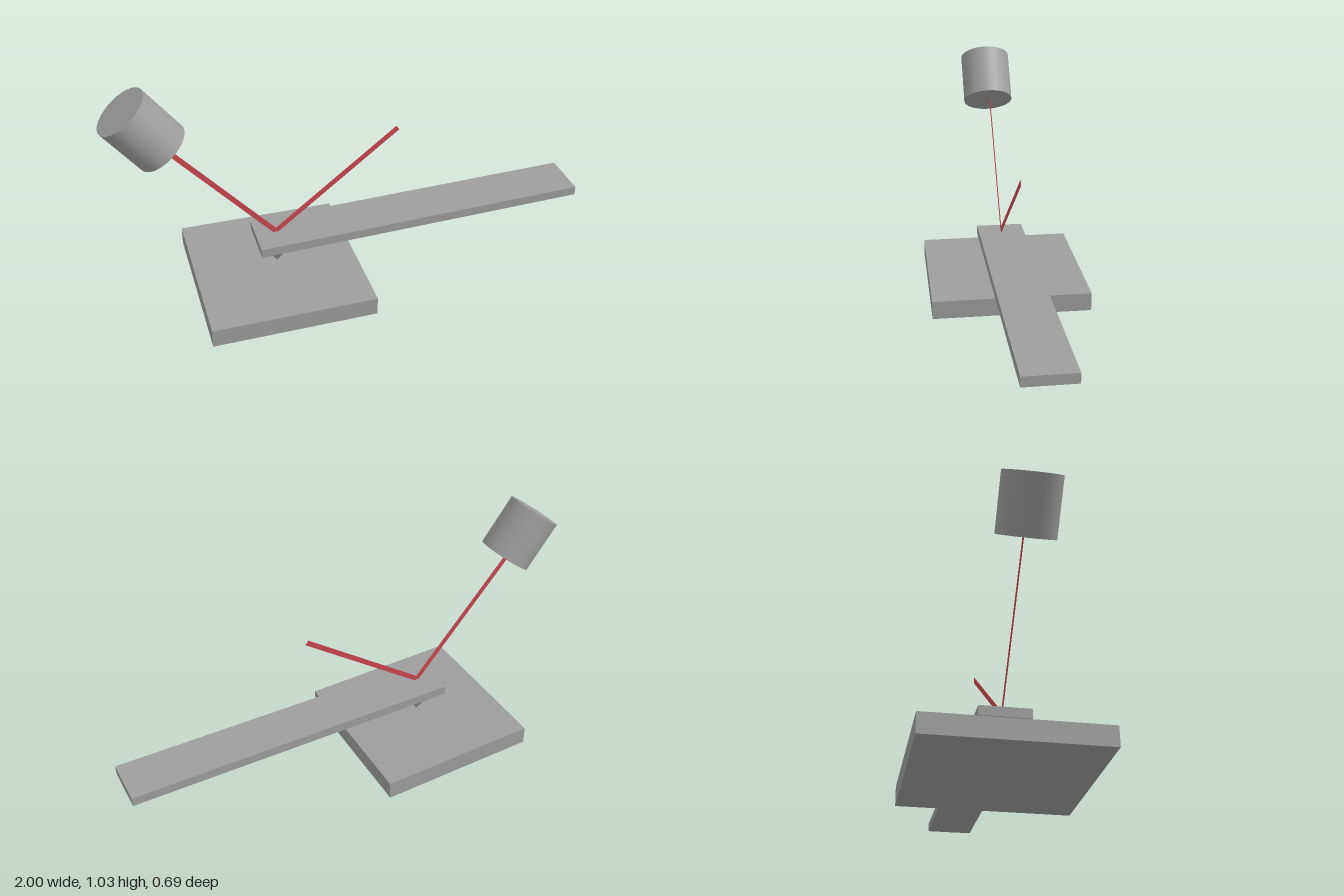
import * as THREE from 'three';

export function createModel() {
  const model = new THREE.Group();
  const grey = new THREE.MeshStandardMaterial({ color: 0x9d9d9d });
  const red = new THREE.MeshStandardMaterial({ color: 0xc8474f });

  const add = (name, geometry, material, x, y, z) => {
    const mesh = new THREE.Mesh(geometry, material);
    mesh.name = name;
    mesh.position.set(x, y, z);
    model.add(mesh);
    return mesh;
  };

  // Slightly tilted sample slab
  add('samplePlate', new THREE.BoxGeometry(0.69, 0.081, 0.693), grey, -0.359, 0.0505, 0)
    .rotation.z = -0.028;

  // Long flat lever arm
  add('cantilever', new THREE.BoxGeometry(1.437, 0.04, 0.204), grey, 0.2815, 0.241, 0.008);

  // Square pyramid tip pointing down, sides parallel to the arm
  const tip = new THREE.ConeGeometry(0.117 / Math.SQRT2, 0.114, 4, 1).toNonIndexed();
  tip.rotateY(Math.PI / 4).rotateX(Math.PI);
  tip.computeVertexNormals();
  add('probeTip', tip, grey, -0.351, 0.161, 0);

  // Tilted light source
  add('lightSource', new THREE.CylinderGeometry(0.113, 0.113, 0.226, 48), grey, -0.842, 0.868, 0.019)
    .rotation.z = 0.63;

  // Thin ribbon beam running from a to b, its broad side facing the front
  const beam = (name, a, b) => {
    const along = b.clone().sub(a);
    const length = along.length();
    along.normalize();
    const across = new THREE.Vector3(0, 0, 1).cross(along).normalize();
    const normal = along.clone().cross(across);
    const mesh = add(name, new THREE.BoxGeometry(length, 0.022, 0.002), red, 0, 0, 0);
    mesh.quaternion.setFromRotationMatrix(new THREE.Matrix4().makeBasis(along, across, normal));
    mesh.position.copy(a).lerp(b, 0.5);
  };
  beam('incomingBeam', new THREE.Vector3(-0.78, 0.776, 0.009), new THREE.Vector3(-0.352, 0.267, 0.009));
  beam('reflectedBeam', new THREE.Vector3(-0.352, 0.267, 0.009), new THREE.Vector3(0.188, 0.664, -0.005));

  return model;
}
